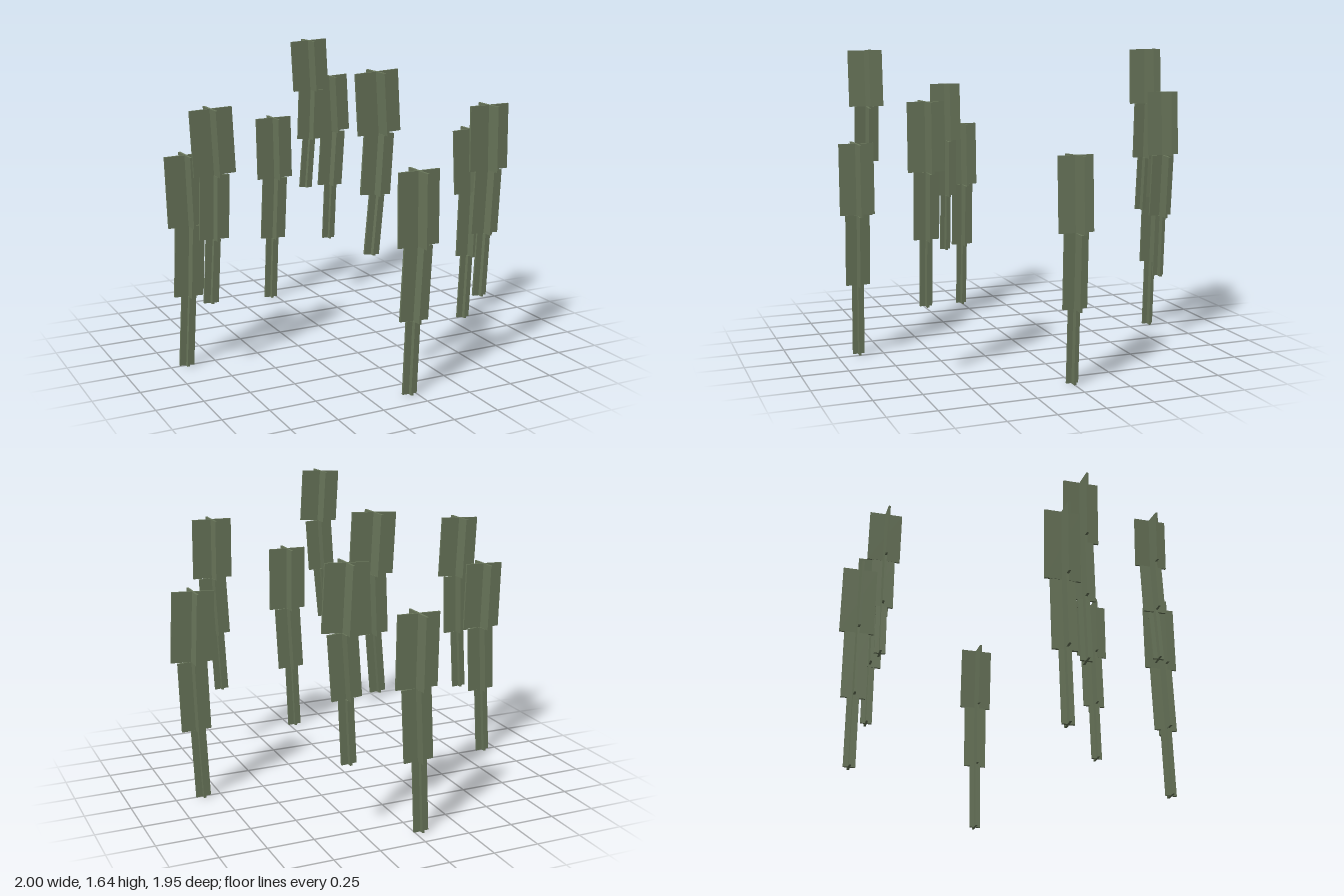
import * as THREE from 'three';

// Blade sizes from top to bottom of a strand: width across x, width across z
const BLADES = [[0.23, 0.186], [0.162, 0.13], [0.081, 0.063]];
const THICK = 0.012;

// Joint heights for long, medium and short strands
const LEVELS = {
  long: [1.156, 0.775, 0.39, 0.003],
  medium: [1.41, 1.065, 0.725, 0.382],
  short: [1.637, 1.337, 1.035, 0.734],
};

// Each strand: length, z, then the x of the top and bottom ends of its three blades
const STRANDS = [
  ['long', 0.88, [0, 0.003, 0.003, -0.017, -0.021, -0.036]],
  ['long', -0.88, [-0.003, 0.003, 0.003, -0.015, -0.02, -0.036]],
  ['long', 0, [0.866, 0.885, 0.883, 0.872, 0.863, 0.846]],
  ['long', 0, [-0.885, -0.874, -0.871, -0.888, -0.889, -0.912]],
  ['medium', 0.135, [-0.791, -0.775, -0.778, -0.787, -0.793, -0.813]],
  ['medium', 0.66, [0.548, 0.552, 0.553, 0.537, 0.533, 0.516]],
  ['medium', -0.757, [0.325, 0.343, 0.347, 0.324, 0.329, 0.313]],
  ['short', 0.778, [-0.185, -0.167, -0.168, -0.187, -0.178, -0.206]],
  ['short', -0.728, [0.168, 0.184, 0.185, 0.173, 0.168, 0.143]],
];

export function createModel() {
  const model = new THREE.Group();
  model.name = 'hangingVines';
  const material = new THREE.MeshStandardMaterial({ color: 0x6b785c });

  // Two thin crossed panels, leaning sideways between two end points
  function crossedBlade(name, wide, deep, x0, y0, x1, y1) {
    const blade = new THREE.Group();
    blade.name = name;
    const length = Math.hypot(x0 - x1, y0 - y1);
    for (const [panelName, w, d] of [['widePanel', wide, THICK], ['deepPanel', THICK, deep]]) {
      const panel = new THREE.Mesh(new THREE.BoxGeometry(w, length, d), material);
      panel.name = panelName;
      blade.add(panel);
    }
    blade.position.set((x0 + x1) / 2, (y0 + y1) / 2, 0);
    blade.rotation.z = Math.atan2(x1 - x0, y0 - y1);
    return blade;
  }

  // Strands of three tapering blades
  const names = ['upperLeaf', 'middleLeaf', 'lowerStem'];
  STRANDS.forEach(([kind, z, xs]) => {
    const strand = new THREE.Group();
    strand.name = kind + 'Vine';
    const y = LEVELS[kind];
    BLADES.forEach(([wide, deep], i) => {
      strand.add(crossedBlade(names[i], wide, deep, xs[2 * i], y[i], xs[2 * i + 1], y[i + 1]));
    });
    strand.position.z = z;
    model.add(strand);
  });

  return model;
}
